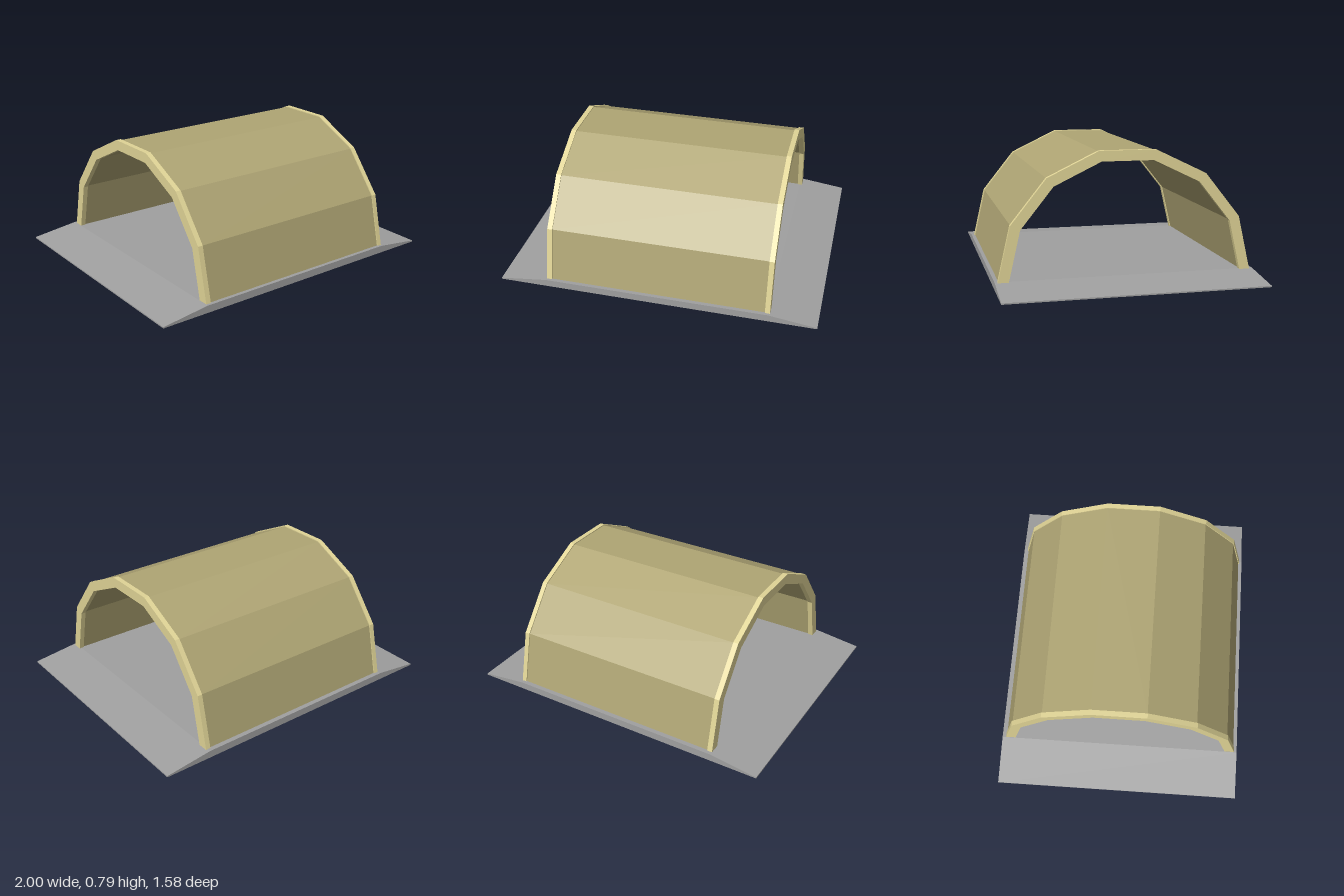
import * as THREE from 'three';

const SIDES = 7;       // facets across the half-round arch
const SPRING_Y = 0.04; // height of the arch centre

const ribKhaki = new THREE.MeshStandardMaterial({ color: 0xe0d496, flatShading: true });
const shellKhaki = new THREE.MeshStandardMaterial({ color: 0xafa574, flatShading: true });
const slabGrey = new THREE.MeshStandardMaterial({ color: 0xa0a0a0, flatShading: true });

// Points of a faceted half circle, from one foot to the other
function halfRound(radius) {
  return Array.from({ length: SIDES + 1 }, (_, i) => {
    const a = (Math.PI * i) / SIDES;
    return new THREE.Vector2(Math.cos(a) * radius, Math.sin(a) * radius);
  });
}

// Arched band running along x from x0 to x1
function archBand(name, material, outer, inner, x0, x1) {
  const shape = new THREE.Shape([...halfRound(outer), ...halfRound(inner).reverse()]);
  const geometry = new THREE.ExtrudeGeometry(shape, { depth: x1 - x0, bevelEnabled: false });
  geometry.rotateY(Math.PI / 2);
  const mesh = new THREE.Mesh(geometry, material);
  mesh.name = name;
  mesh.position.set(x0, SPRING_Y, 0.003);
  return mesh;
}

export function createModel() {
  const model = new THREE.Group();
  model.name = 'archedShelter';

  // Ground slab with a ramp down to each open end
  const depth = 1.576;
  const profile = new THREE.Shape([
    [-1, 0], [1, 0], [1, 0.008], [0.7, 0.046], [-0.7, 0.046], [-1, 0.008],
  ].map(([x, y]) => new THREE.Vector2(x, y)));
  const slab = new THREE.Mesh(
    new THREE.ExtrudeGeometry(profile, { depth, bevelEnabled: false }).translate(0, 0, -depth / 2),
    slabGrey,
  );
  slab.name = 'baseSlab';
  model.add(slab);

  // Vaulted shell between two paler, slightly thicker end ribs
  model.add(
    archBand('vaultShell', shellKhaki, 0.763, 0.712, -0.666, 0.682),
    archBand('rightEndRib', ribKhaki, 0.769, 0.705, -0.698, -0.666),
    archBand('leftEndRib', ribKhaki, 0.769, 0.705, 0.682, 0.713),
  );
  return model;
}
